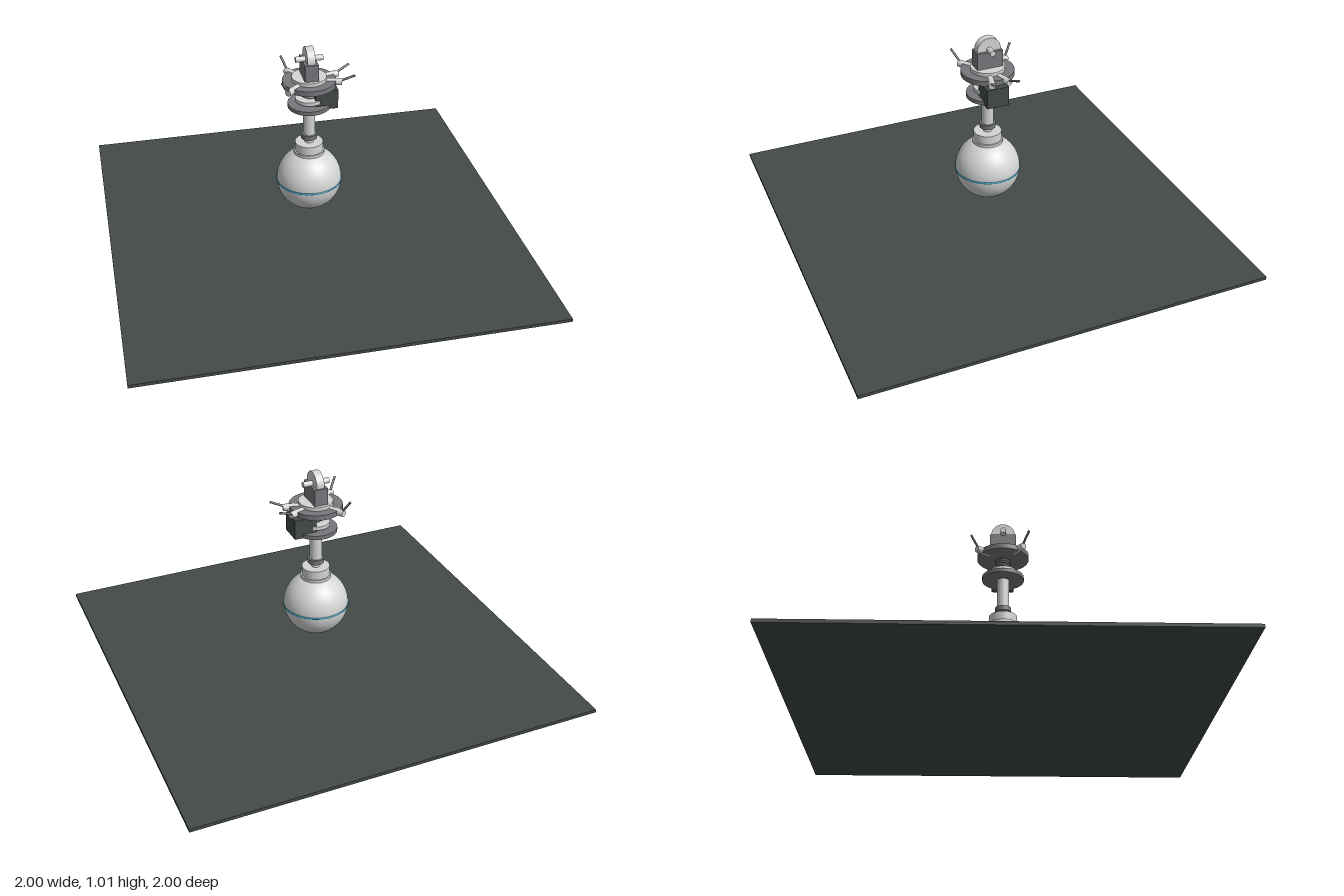
import * as THREE from 'three';

export function createModel() {
  const group = new THREE.Group();
  const mat = (name, color) => {
    const m = new THREE.MeshStandardMaterial({ color });
    m.name = name;
    return m;
  };
  const light = mat('light grey', 0xd4d5d5);
  const grey = mat('mid grey', 0x77787c);
  const dark = mat('dark slate', 0x434a48);
  const teal = mat('teal', 0x2f9dbd);

  const add = (name, geometry, material, x = 0, y = 0, z = 0) => {
    const mesh = new THREE.Mesh(geometry, material);
    mesh.name = name;
    mesh.position.set(x, y, z);
    group.add(mesh);
    return mesh;
  };
  // Upright cylinder between two heights
  const disc = (name, r, y0, y1, material, rTop = r) =>
    add(name, new THREE.CylinderGeometry(rTop, r, y1 - y0, 40), material, 0, (y0 + y1) / 2);
  // Round rod between two points
  const rod = (name, a, b, r, material) => {
    const dir = b.clone().sub(a);
    const mesh = add(name, new THREE.CylinderGeometry(r, r, dir.length(), 14), material);
    mesh.position.copy(a).add(b).multiplyScalar(0.5);
    mesh.quaternion.setFromUnitVectors(new THREE.Vector3(0, 1, 0), dir.normalize());
  };

  // Ground plate
  add('groundPlate', new THREE.BoxGeometry(2, 0.016, 2), dark, 0, 0.008);

  // Hanging sphere with its belt
  add('sphere', new THREE.SphereGeometry(0.16, 48, 32), light, 0, 0.295);
  add('sphereBelt', new THREE.TorusGeometry(0.157, 0.006, 10, 64), teal, 0, 0.291).rotation.x = Math.PI / 2;

  // Collar, neck and shaft
  disc('collarFlange', 0.075, 0.442, 0.456, light);
  disc('collar', 0.068, 0.45, 0.5, light);
  disc('neck', 0.022, 0.5, 0.522, light);
  disc('shaftRing', 0.04, 0.522, 0.545, grey);
  disc('shaft', 0.03, 0.545, 0.697, light);

  // Lower platform with the motor box
  disc('lowerPlatform', 0.103, 0.696, 0.716, grey);
  add('motorBox', new THREE.BoxGeometry(0.11, 0.098, 0.11), dark, 0.075, 0.746);
  disc('platformHub', 0.045, 0.716, 0.73, light);
  disc('platformCap', 0.068, 0.728, 0.746, light);
  disc('core', 0.022, 0.746, 0.815, light);

  // Coil spring
  class Helix extends THREE.Curve {
    getPoint(t, out = new THREE.Vector3()) {
      const a = t * Math.PI * 8;
      return out.set(0.032 * Math.cos(a), 0.752 + 0.055 * t, 0.032 * Math.sin(a));
    }
  }
  add('spring', new THREE.TubeGeometry(new Helix(), 128, 0.006, 8), grey);

  // Upper platform
  disc('upperPlatform', 0.128, 0.812, 0.838, grey);
  disc('upperCap', 0.083, 0.838, 0.856, light);

  // Arms: direction, then the tip of the thin rod
  const arms = [
    [0.21, 0.862, -0.07], [0.21, 0.862, 0.055],
    [-0.155, 0.895, 0.125], [-0.105, 0.895, -0.16],
  ];
  for (const [x, y, z] of arms) {
    const a = Math.atan2(z, x);
    const at = (r, h) => new THREE.Vector3(r * Math.cos(a), h, r * Math.sin(a));
    rod('armStub', at(0.08, 0.828), at(0.157, 0.828), 0.017, light);
    rod('armRod', at(0.145, 0.832), new THREE.Vector3(x, y, z), 0.0055, grey);
  }

  // Head block carrying a wheel on a cross axle
  add('headBlock', new THREE.BoxGeometry(0.066, 0.085, 0.13), grey, 0, 0.897);
  add('wheel', new THREE.CylinderGeometry(0.059, 0.059, 0.038, 40), light, 0, 0.947).rotation.z = Math.PI / 2;
  add('axle', new THREE.CylinderGeometry(0.014, 0.014, 0.132, 20), light, 0, 0.947).rotation.z = Math.PI / 2;

  return group;
}
